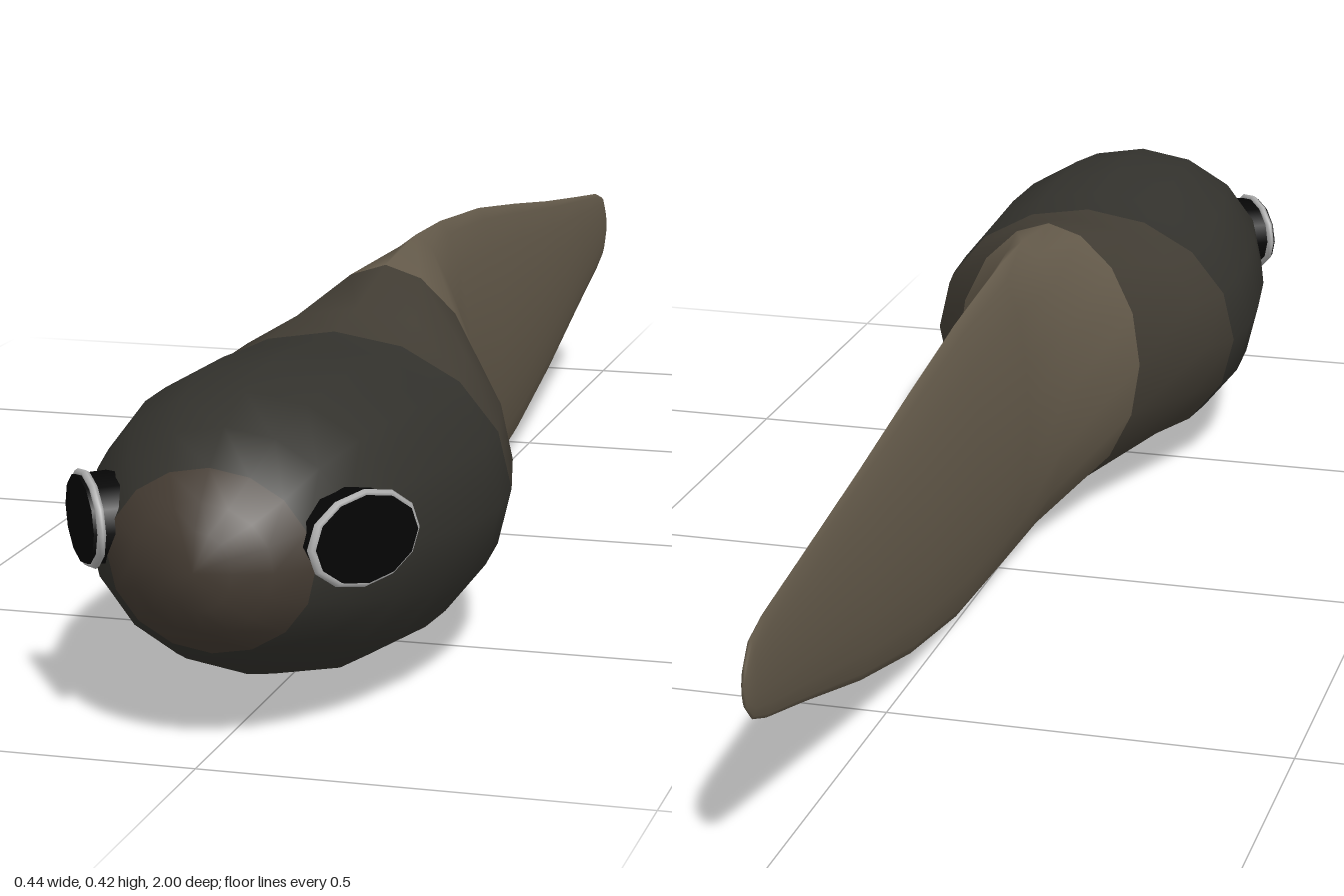
import * as THREE from 'three';

const SIDES = 16;

// Cross-sections from snout to tail tip: z, half width, top y, bottom y, pinch (1 = ellipse)
const SECTIONS = [
  [1.0, 0.0, 0.215, 0.215, 1],
  [0.99, 0.04, 0.258, 0.17, 1],
  [0.97, 0.08, 0.285, 0.14, 1],
  [0.94, 0.117, 0.315, 0.11, 1],
  [0.89, 0.15, 0.348, 0.08, 1],
  [0.82, 0.186, 0.373, 0.05, 1],
  [0.73, 0.208, 0.384, 0.023, 1],
  [0.64, 0.219, 0.381, 0.01, 1],
  [0.56, 0.222, 0.373, 0.007, 1],
  [0.48, 0.216, 0.368, 0.015, 1],
  [0.39, 0.195, 0.378, 0.03, 1],
  [0.26, 0.13, 0.407, 0.022, 1.1],
  [0.12, 0.065, 0.42, 0.007, 1.2],
  [0.0, 0.043, 0.417, 0.0, 1.3],
  [-0.2, 0.035, 0.4, 0.008, 1.4],
  [-0.4, 0.028, 0.372, 0.037, 1.4],
  [-0.6, 0.02, 0.342, 0.083, 1.4],
  [-0.8, 0.013, 0.315, 0.14, 1.3],
  [-0.93, 0.009, 0.298, 0.175, 1.2],
  [-0.975, 0.007, 0.285, 0.192, 1],
  [-0.995, 0.004, 0.262, 0.212, 1],
  [-1.0, 0.0, 0.238, 0.238, 1],
];

// Lofts the whole skin once so that normals run smoothly from head to tail
function loftSkin() {
  const last = SECTIONS.length - 1;
  const pos = [];
  SECTIONS.forEach(([z, w, top, bottom, pinch], i) => {
    const count = i === 0 || i === last ? 1 : SIDES;
    for (let j = 0; j < count; j++) {
      const a = (j / SIDES) * Math.PI * 2;
      const s = j % (SIDES / 2) === 0 ? 0 : Math.sin(a);
      pos.push(
        w * Math.sign(s) * Math.abs(s) ** pinch,
        (top + bottom) / 2 + ((top - bottom) / 2) * Math.cos(a),
        z
      );
    }
  });
  const id = (i, j) =>
    i === 0 ? 0 : i === last ? 1 + (last - 1) * SIDES : 1 + (i - 1) * SIDES + (j % SIDES);
  const strip = (from, to) => {
    const index = [];
    for (let i = from; i < to; i++)
      for (let j = 0; j < SIDES; j++) {
        if (i > 0) index.push(id(i, j), id(i, j + 1), id(i + 1, j));
        if (i < last - 1) index.push(id(i, j + 1), id(i + 1, j + 1), id(i + 1, j));
      }
    return index;
  };
  const geometry = new THREE.BufferGeometry();
  geometry.setAttribute('position', new THREE.Float32BufferAttribute(pos, 3));
  geometry.setIndex(strip(0, last));
  geometry.computeVertexNormals();
  return (from, to) => geometry.clone().setIndex(strip(from, to)).toNonIndexed();
}

function makeMesh(name, geometry, color) {
  const mesh = new THREE.Mesh(geometry, new THREE.MeshStandardMaterial({ color }));
  mesh.name = name;
  return mesh;
}

// Flat oval eye with a pale rim; side is +1 for left, -1 for right
function makeEye(side) {
  const eye = new THREE.Group();
  eye.name = side > 0 ? 'leftEye' : 'rightEye';
  const disc = new THREE.CylinderGeometry(0.048, 0.05, 0.04, 12).rotateX(Math.PI / 2);
  const pupil = makeMesh('pupil', disc, 0x050505);
  const rim = makeMesh('eyeRim', new THREE.TorusGeometry(0.049, 0.005, 6, 12), 0xb0b0b0);
  rim.position.z = 0.012;
  eye.add(pupil, rim);
  eye.scale.set(1.45, 1, 1);
  eye.position.set(side * 0.147, 0.237, 0.888);
  eye.rotation.y = side * 0.985;
  return eye;
}

export function createModel() {
  const model = new THREE.Group();
  model.name = 'tadpole';
  const skin = loftSkin();

  // Body and tail, darkest around the head
  model.add(makeMesh('snout', skin(0, 3), 0x443b32));
  model.add(makeMesh('body', skin(3, 9), 0x33322d));
  model.add(makeMesh('tailRoot', skin(9, 11), 0x423d34));
  model.add(makeMesh('tail', skin(11, SECTIONS.length - 1), 0x655b4b));

  // Eyes
  for (const side of [1, -1]) model.add(makeEye(side));
  return model;
}
